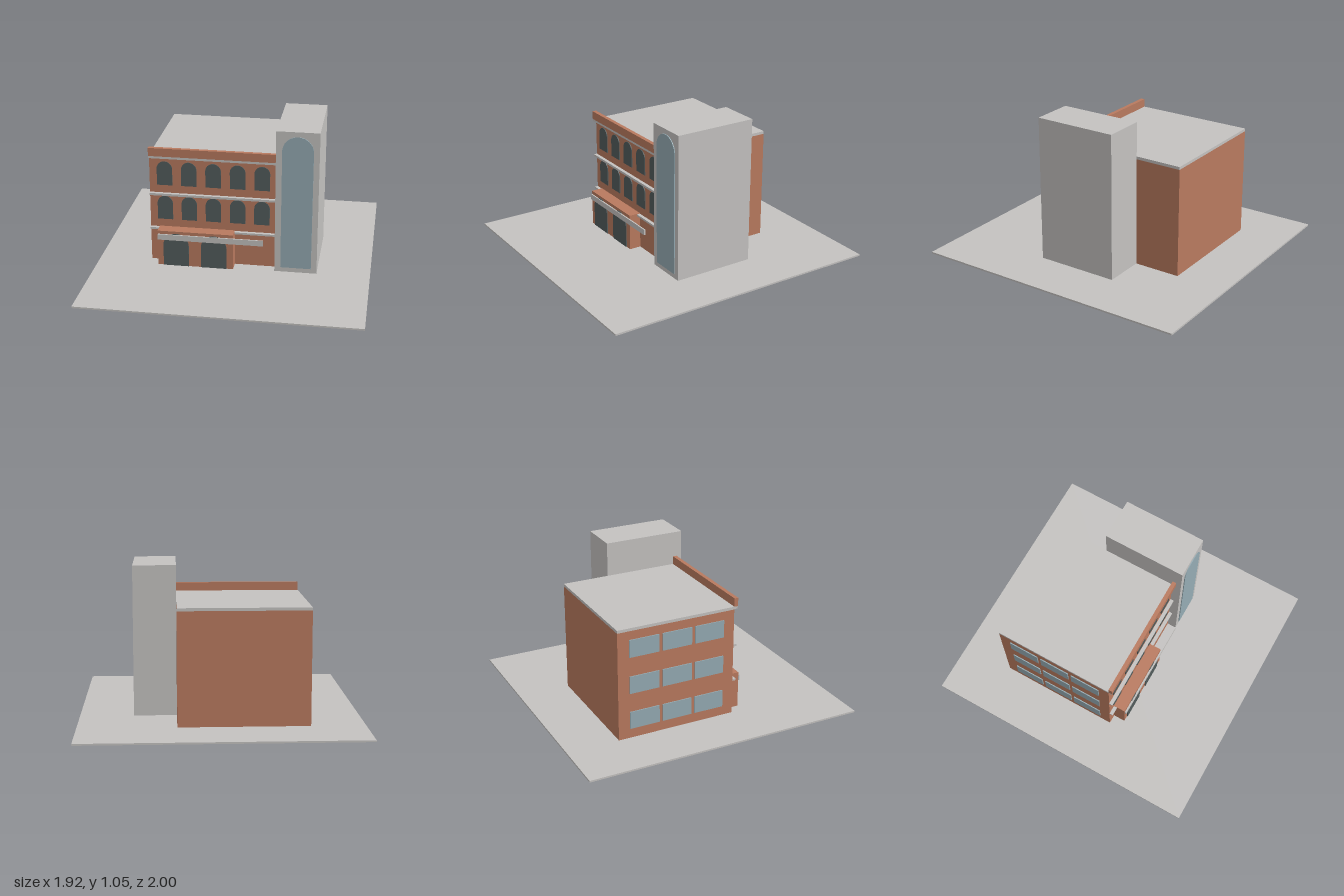
import * as THREE from 'three';

const material = (name, color) => {
  const m = new THREE.MeshStandardMaterial({ color });
  m.name = name;
  return m;
};

export function createModel() {
  const model = new THREE.Group();
  model.name = 'building';
  const concrete = material('concrete', 0xc4c2c0);
  const brick = material('brick', 0xb97a5f);
  const darkGlass = material('dark glass', 0x525c5c);
  const blueGlass = material('blue glass', 0x95abb3);

  // Box given by its lower and upper limits on each axis
  const box = (name, mat, [x0, x1], [y0, y1], [z0, z1]) => {
    const mesh = new THREE.Mesh(new THREE.BoxGeometry(x1 - x0, y1 - y0, z1 - z0), mat);
    mesh.position.set((x0 + x1) / 2, (y0 + y1) / 2, (z0 + z1) / 2);
    mesh.name = name;
    model.add(mesh);
  };

  // Thin round-headed pane standing on a front wall
  const archPane = (name, mat, x, y0, y1, width, z) => {
    const r = width / 2;
    const shape = new THREE.Shape();
    shape.moveTo(-r, 0);
    shape.lineTo(r, 0);
    shape.lineTo(r, y1 - y0 - r);
    shape.absarc(0, y1 - y0 - r, r, 0, Math.PI, false);
    shape.closePath();
    const geo = new THREE.ExtrudeGeometry(shape, { depth: 0.006, bevelEnabled: false, curveSegments: 16 });
    const mesh = new THREE.Mesh(geo, mat);
    mesh.position.set(x, y0, z);
    mesh.name = name;
    model.add(mesh);
  };

  // Ground slab
  box('ground', concrete, [-0.96, 0.96], [0, 0.012], [-1, 1]);

  // Main block with flat roof and front parapet
  const across = [-0.592, 0.295];
  box('mainBlock', brick, across, [0.012, 0.787], [-0.63, 0.227]);
  box('roof', concrete, across, [0.787, 0.807], [-0.63, 0.227]);
  box('parapet', brick, across, [0.807, 0.866], [0.227, 0.255]);

  // Projecting string courses
  for (const [y0, y1] of [[0.255, 0.269], [0.514, 0.53], [0.79, 0.807]])
    box('stringCourse', concrete, across, [y0, y1], [0.227, 0.252]);

  // Two rows of arched front windows
  for (const y of [0.33, 0.588])
    for (let i = 0; i < 5; i++)
      archPane('frontWindow', darkGlass, -0.485 + i * 0.1705, y, y + 0.175, 0.108, 0.227);

  // Side windows, three by three
  for (const y of [0.082, 0.341, 0.602])
    for (const z of [-0.44, -0.2, 0.04])
      box('sideWindow', blueGlass, [-0.599, -0.592], [y, y + 0.124], [z - 0.108, z + 0.108]);

  // Entrance porch with arched doors and a long fascia board
  box('porch', brick, [-0.528, 0.006], [0.012, 0.273], [0.227, 0.312]);
  for (const x of [-0.397, -0.13])
    archPane('entrance', darkGlass, x, 0.013, 0.257, 0.18, 0.312);
  box('fascia', concrete, [-0.525, 0.217], [0.21, 0.251], [0.315, 0.325]);

  // Stair tower with tall arched glazing
  box('tower', concrete, [0.295, 0.59], [0.012, 1.05], [-0.295, 0.293]);
  archPane('towerGlazing', blueGlass, 0.444, 0.047, 1.016, 0.213, 0.293);

  return model;
}
